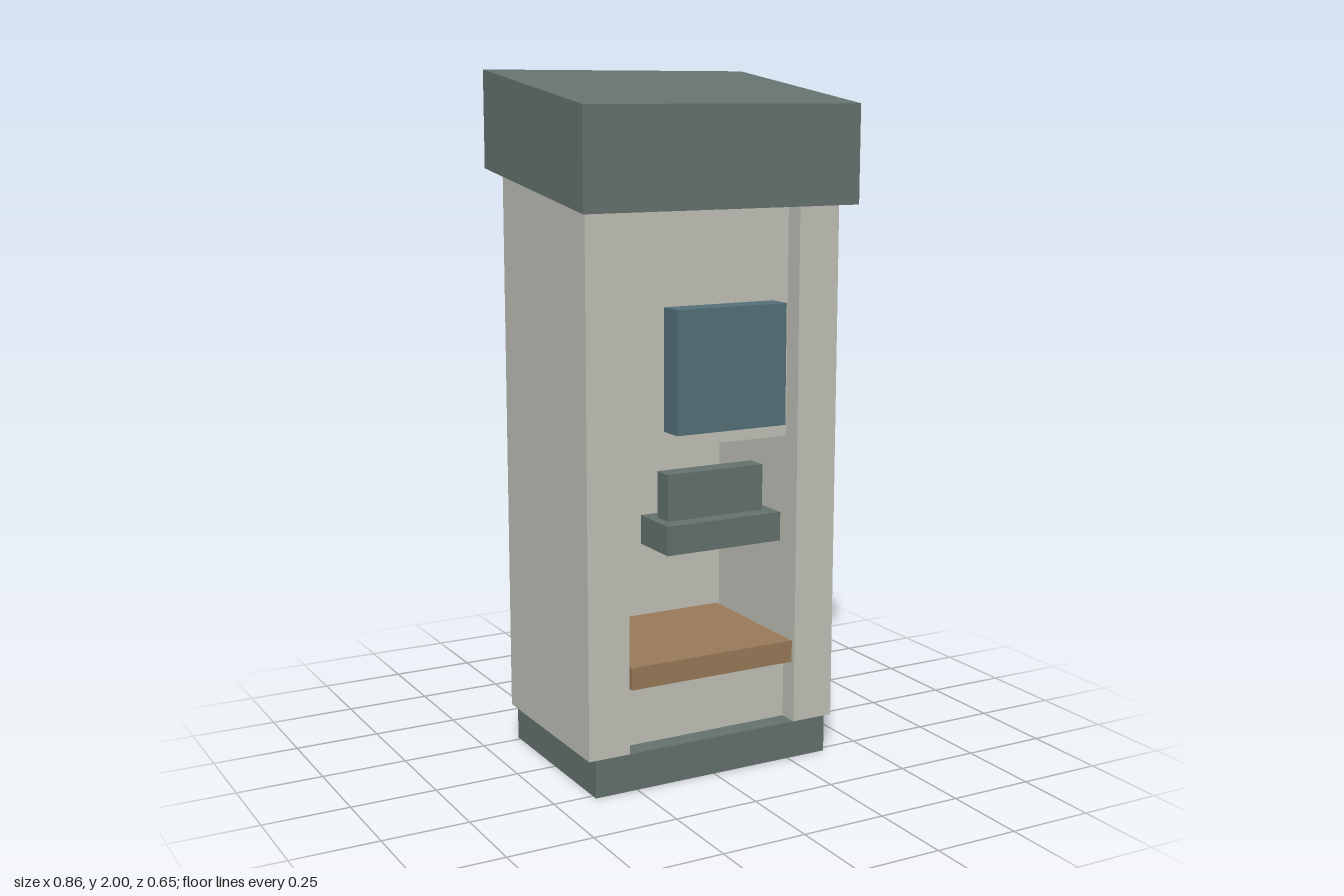
import * as THREE from 'three';

const mat = (color) => new THREE.MeshStandardMaterial({ color, flatShading: true });

export function createModel() {
  const model = new THREE.Group();
  const shell = mat(0xc2c2b9), trim = mat(0x65726e), glass = mat(0x55717a), wood = mat(0x9a7b5a);

  // Box given by its limits on each axis
  const box = (name, material, [x0, x1], [y0, y1], [z0, z1]) => {
    const mesh = new THREE.Mesh(new THREE.BoxGeometry(x1 - x0, y1 - y0, z1 - z0), material);
    mesh.position.set((x0 + x1) / 2, (y0 + y1) / 2, (z0 + z1) / 2);
    mesh.name = name;
    model.add(mesh);
    return mesh;
  };

  const back = -0.265, front = 0.27, recess = 0.21, alcove = -0.17;
  const bottom = 0.11, top = 1.71, inner = [-0.273, 0.27];

  // Plinth
  box('base', trim, [-0.38, 0.377], [0, bottom], [back, front]);

  // Cabinet shell: thick side walls, back wall, recessed front panels
  box('leftWall', shell, [inner[1], 0.4], [bottom, top], [back, front]);
  box('rightWall', shell, [-0.4, inner[0]], [bottom, top], [back, front]);
  box('backWall', shell, inner, [bottom, top], [back, alcove]);
  box('upperPanel', shell, inner, [0.96, top], [alcove, recess]);
  box('lowerPanel', shell, inner, [bottom, 0.33], [alcove, recess]);

  // Wooden shelf on the floor of the alcove, and a batten under the roof
  box('shelf', wood, [-0.265, 0.262], [0.295, 0.36], [alcove, front - 0.002]);
  box('batten', wood, [-0.38, -0.265], [1.56, 1.7], [-0.25, 0.25]);

  // Screen, small printer and tray
  box('screen', glass, [-0.148, 0.2], [1.015, 1.36], [0.24, 0.315]);
  box('printer', trim, [-0.155, 0.15], [0.765, 0.9], [0.215, 0.276]);
  box('tray', trim, [-0.183, 0.18], [0.685, 0.768], [0.17, 0.326]);

  // Rear vent strip below the roof
  box('rearVent', trim, [-0.33, 0.33], [1.63, 1.74], [-0.287, back]);

  // Roof block sheared so that it rises towards the back
  const roof = box('roof', trim, [-0.43, 0.43], [1.673, 1.953], [-0.325, 0.325]);
  const p = roof.geometry.attributes.position;
  for (let i = 0; i < p.count; i++) p.setY(i, p.getY(i) - 0.145 * p.getZ(i));
  roof.geometry.computeVertexNormals();

  return model;
}
